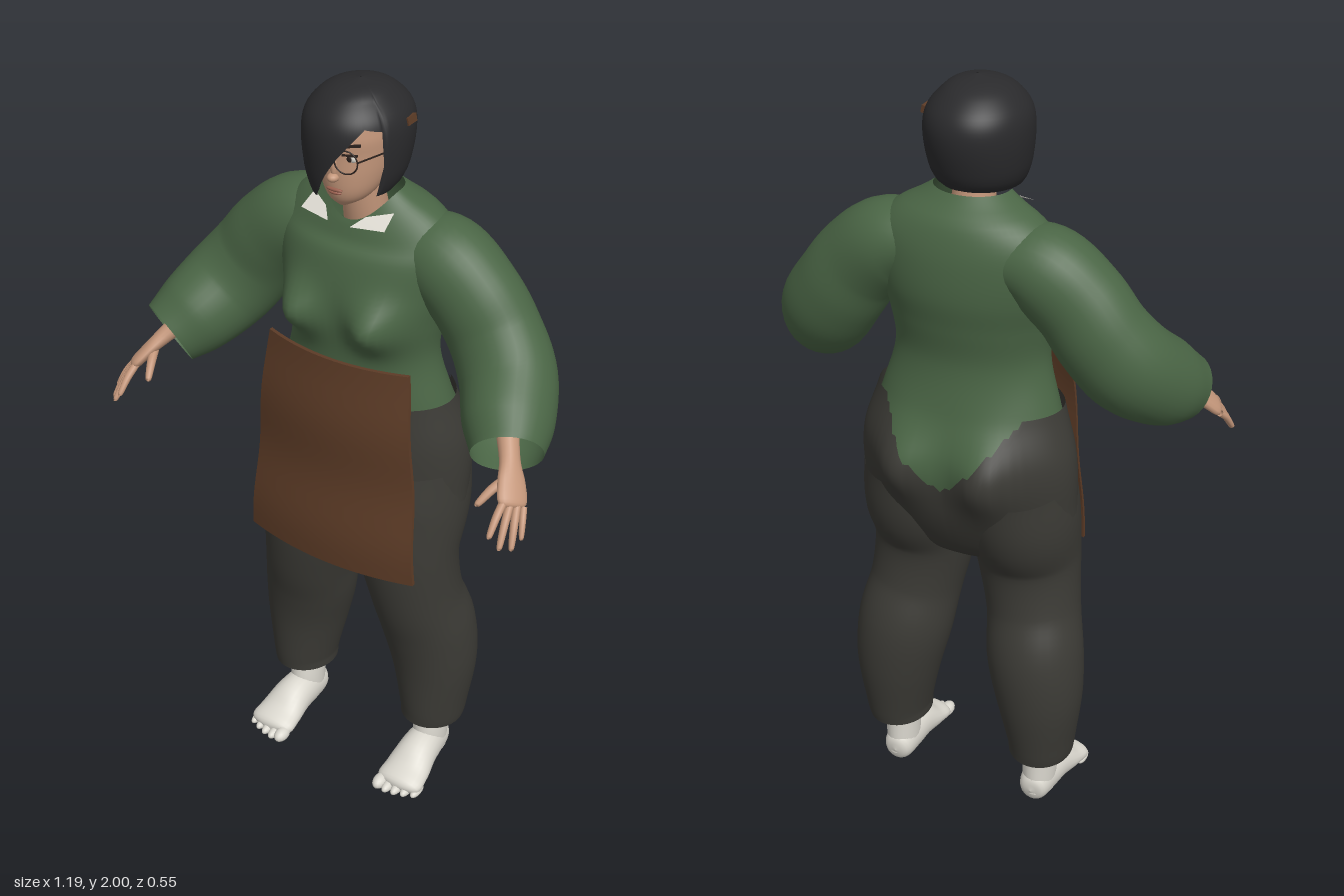
import * as THREE from 'three';

const mat = (name, color) => new THREE.MeshStandardMaterial({ name, color, side: THREE.DoubleSide });
const M = {
  shirt: mat('shirt green', 0x4a6545), pants: mat('charcoal cloth', 0x3b3a35),
  apron: mat('brown leather', 0x5c3b26), hair: mat('black hair', 0x2a2a2c),
  skin: mat('skin', 0xc3967a), sock: mat('off white', 0xdad7ce),
  lips: mat('lips', 0x99604f), dark: mat('dark detail', 0x2b211d),
};
const { sin, cos, PI, abs, max, min, exp } = Math;
const lerp = THREE.MathUtils.lerp;

// Smooth interpolation of table rows, keyed by their first column
function spline(rows, t) {
  const n = rows.length - 1;
  let i = 0;
  while (i < n - 1 && t > rows[i + 1][0]) i++;
  const slope = (k, c) => {
    const a = rows[max(k - 1, 0)], b = rows[min(k + 1, n)];
    return (b[c] - a[c]) / (b[0] - a[0]);
  };
  const A = rows[i], B = rows[i + 1], h = B[0] - A[0];
  const s = min(max((t - A[0]) / h, 0), 1), s2 = s * s, s3 = s2 * s;
  return A.map((_, c) => (2 * s3 - 3 * s2 + 1) * A[c] + (s3 - 2 * s2 + s) * h * slope(i, c)
    + (3 * s2 - 2 * s3) * B[c] + (s3 - s2) * h * slope(i + 1, c));
}

// Closed rings stacked along v; f(angle, v) gives a point
function rings(f, nu, nv) {
  const pos = [], idx = [];
  for (let j = 0; j <= nv; j++)
    for (let i = 0; i < nu; i++) pos.push(...f(i / nu * 2 * PI, j / nv));
  for (let j = 0; j < nv; j++)
    for (let i = 0; i < nu; i++) {
      const a = j * nu + i, b = j * nu + (i + 1) % nu;
      idx.push(a, b, b + nu, a, b + nu, a + nu);
    }
  const g = new THREE.BufferGeometry();
  g.setAttribute('position', new THREE.Float32BufferAttribute(pos, 3));
  g.setIndex(idx);
  g.computeVertexNormals();
  return g;
}

// Elliptical tube through rows [x, y, z, a, b]; a lies along ref, b across it
function sweep(rows, ref, nu = 24, nv = 28) {
  const keyed = rows.map((r, i) => [i, ...r]), n = rows.length - 1;
  const at = t => new THREE.Vector3(...spline(keyed, t).slice(1, 4));
  const R = new THREE.Vector3(...ref);
  return rings((th, v) => {
    const t = v * n, r = spline(keyed, t);
    const d = at(min(t + 0.02, n)).sub(at(max(t - 0.02, 0))).normalize();
    const N = R.clone().addScaledVector(d, -R.dot(d)).normalize();
    const B = d.clone().cross(N);
    return at(t).addScaledVector(N, max(r[4], 0) * cos(th)).addScaledVector(B, max(r[5], 0) * sin(th)).toArray();
  }, nu, nv);
}

// Horizontal oval from rows [y, halfWidth, zFront, zBack]
function oval(rows, y, th, grow = 0) {
  const [, w, zf, zb] = spline(rows, y);
  return [(w + grow) * sin(th), y, (zf + zb) / 2 + ((zf - zb) / 2 + grow) * cos(th)];
}

const BODY = [
  [0.73, 0.03, -0.02, -0.06], [0.77, 0.18, 0.05, -0.13], [0.85, 0.26, 0.075, -0.185], [0.95, 0.273, 0.08, -0.22],
  [1.08, 0.268, 0.08, -0.232], [1.2, 0.232, 0.075, -0.2], [1.32, 0.2, 0.075, -0.18], [1.42, 0.21, 0.085, -0.195],
  [1.5, 0.23, 0.085, -0.21], [1.58, 0.242, 0.07, -0.21], [1.64, 0.23, 0.045, -0.2], [1.69, 0.18, 0.035, -0.18],
  [1.72, 0.125, 0.03, -0.15], [1.74, 0.095, 0.025, -0.13]];
function body(y, th, grow) {
  const p = oval(BODY, y, th, grow), c = cos(th), ax = abs(p[0]);
  if (c > 0) {
    p[2] += 0.065 * exp(-(((ax - 0.11) / 0.06) ** 2) - ((y - 1.43) / 0.065) ** 2);
    p[1] -= 0.07 * c * c * min(max((y - 1.6) / 0.14, 0), 1);
  } else p[2] -= 0.05 * min(1, -3 * c) * exp(-(((ax - 0.12) / 0.075) ** 2) - ((y - 1.05) / 0.1) ** 2);
  return p;
}

const HEAD = [
  [1.72, 0.015, 0.055, 0.01], [1.735, 0.043, 0.07, -0.03], [1.76, 0.064, 0.08, -0.07], [1.8, 0.08, 0.084, -0.12],
  [1.85, 0.088, 0.083, -0.14], [1.9, 0.09, 0.083, -0.14], [1.95, 0.075, 0.06, -0.12], [1.98, 0.01, -0.02, -0.04]];
const HAIR = [
  [1.74, 0.09, 0.09, -0.115], [1.76, 0.105, 0.094, -0.145], [1.8, 0.119, 0.1, -0.167], [1.88, 0.127, 0.105, -0.185],
  [1.93, 0.118, 0.095, -0.175], [1.97, 0.085, 0.06, -0.135], [1.99, 0.05, 0.02, -0.09], [2.0, 0.002, -0.033, -0.037]];
// Hair hem height by angle in degrees: swept fringe, open face, then a bob
const HEM = [[-180, 1.755], [-90, 1.745], [-22, 1.742], [-12, 1.765], [0, 1.81], [15, 1.86], [30, 1.9], [42, 1.925],
  [60, 1.915], [66, 1.75], [110, 1.745], [180, 1.755]];
function hem(th) {
  const d = th > PI ? th * 180 / PI - 360 : th * 180 / PI;
  const i = max(1, HEM.findIndex(h => h[0] >= d));
  const [a, b] = [HEM[i - 1], HEM[i]];
  return lerp(a[1], b[1], (d - a[0]) / (b[0] - a[0]));
}

export function createModel() {
  const root = new THREE.Group();
  const add = (name, geo, m, parent = root) => {
    const mesh = new THREE.Mesh(geo, m);
    mesh.name = name;
    parent.add(mesh);
    return mesh;
  };
  const group = name => { const g = new THREE.Group(); g.name = name; root.add(g); return g; };
  const blob = (name, m, parent, p, r) => {
    const b = add(name, new THREE.SphereGeometry(1, 16, 12), m, parent);
    b.position.set(...p);
    b.scale.set(...r);
    return b;
  };
  const bar = (name, m, parent, p, size) => {
    const b = add(name, new THREE.BoxGeometry(...size), m, parent);
    b.position.set(...p);
    return b;
  };

  // Shirt, and trousers with a ragged V cut at the back
  add('shirtBody', rings((th, v) => body(lerp(0.93, 1.74, v), th, 0), 64, 60), M.shirt);
  add('trouserHips', rings((th, v) => {
    const cut = cos(th) < 0 ? max(0, 1 - abs(sin(th)) * 0.28 / 0.21) : 0;
    const top = Math.round((1.205 - 0.2 * cut) / 0.018) * 0.018;
    return body(lerp(0.73, top, v), th, 0.012);
  }, 120, 36), M.pants);

  // Apron: a curved, slightly rippled sheet
  const apron = new THREE.BoxGeometry(2, 1, 0.01, 24, 16, 1), ap = apron.attributes.position;
  for (let i = 0; i < ap.count; i++) {
    const u = ap.getX(i), t = ap.getY(i) + 0.5;
    ap.setXYZ(i, u * (0.2 + 0.047 * (1 - t) ** 0.8), lerp(0.74, 1.33, t),
      ap.getZ(i) + lerp(0.142, 0.112, t) - 0.038 * u * u + 0.006 * sin(t * 11));
  }
  apron.computeVertexNormals();
  add('apron', apron, M.apron);

  for (const s of [1, -1]) {
    const side = s > 0 ? 'left' : 'right';
    const flip = rows => rows.map(([x, ...r]) => [s * x, ...r]);

    // Sleeve
    add(side + 'Sleeve', sweep(flip([
      [0.1, 1.6, -0.09, 0.075, 0.09], [0.2, 1.575, -0.085, 0.11, 0.108], [0.285, 1.505, -0.08, 0.117, 0.105],
      [0.345, 1.425, -0.075, 0.12, 0.105], [0.405, 1.345, -0.04, 0.122, 0.112], [0.455, 1.28, 0.04, 0.11, 0.11],
      [0.49, 1.24, 0.105, 0.088, 0.085]]), [s, 1, 0], 32, 40), M.shirt);

    // Hand with four fingers and a thumb
    const hand = group(side + 'Hand'), across = [-0.6 * s, 0.4, 0.66];
    add('palm', sweep(flip([
      [0.455, 1.29, 0.05, 0.03, 0.03], [0.5, 1.235, 0.11, 0.026, 0.022], [0.528, 1.2, 0.148, 0.037, 0.017],
      [0.55, 1.168, 0.18, 0.037, 0.014], [0.556, 1.16, 0.188, 0, 0]]), across, 16, 20), M.skin, hand);
    const tips = [[0.592, 1.1, 0.207], [0.582, 1.083, 0.235], [0.562, 1.09, 0.257], [0.538, 1.118, 0.265]];
    const finger = (name, a, b, r) => {
      const mid = a.map((v, k) => (v + b[k]) / 2 + (k === 1 ? 0.006 : 0));
      const end = a.map((v, k) => lerp(v, b[k], 0.95));
      add(name, sweep(flip([[...a, r, r], [...mid, r * 0.95, r * 0.95], [...end, r * 0.65, r * 0.65], [...b, 0, 0]]),
        across, 10, 12), M.skin, hand);
    };
    tips.forEach((tip, i) => finger('finger' + (i + 1),
      [0.57 - 0.0117 * i, 1.155 + 0.0067 * i, 0.162 + 0.0117 * i], tip, i ? 0.01 : 0.0085));
    finger('thumb', [0.515, 1.205, 0.14], [0.478, 1.16, 0.22], 0.012);

    // Trouser leg
    add(side + 'TrouserLeg', sweep(flip([
      [0.21, 0.168, -0.075, 0.095, 0.085], [0.212, 0.22, -0.078, 0.102, 0.092], [0.205, 0.36, -0.085, 0.116, 0.117],
      [0.188, 0.48, -0.075, 0.124, 0.128], [0.168, 0.6, -0.042, 0.12, 0.124], [0.147, 0.75, -0.03, 0.128, 0.136],
      [0.146, 0.88, -0.06, 0.153, 0.141], [0.14, 1.0, -0.075, 0.155, 0.135]]), [0, 0, 1], 36, 44), M.pants);

    // Ankle and toed sock
    const foot = group(side + 'Foot');
    add('ankle', sweep(flip([[0.207, 0.14, -0.078, 0.045, 0.04], [0.207, 0.26, -0.078, 0.05, 0.045]]),
      [0, 0, 1], 20, 2), M.skin, foot);
    add('sockCuff', sweep(flip([[0.207, 0.03, -0.075, 0.056, 0.042], [0.207, 0.09, -0.072, 0.058, 0.045],
      [0.207, 0.165, -0.078, 0.05, 0.046]]), [0, 0, 1], 24, 10), M.sock, foot);
    const sole = sweep(flip([
      [0.205, 0.045, -0.134, 0, 0], [0.205, 0.047, -0.12, 0.042, 0.036], [0.207, 0.055, -0.06, 0.058, 0.048],
      [0.21, 0.055, 0, 0.055, 0.055], [0.213, 0.036, 0.06, 0.037, 0.064], [0.214, 0.025, 0.11, 0.026, 0.062],
      [0.214, 0.02, 0.125, 0, 0]]), [0, 1, 0], 24, 28);
    const sp = sole.attributes.position;
    for (let i = 0; i < sp.count; i++) sp.setY(i, max(sp.getY(i), 0.004));
    sole.computeVertexNormals();
    add('sock', sole, M.sock, foot);
    for (let i = 0; i < 5; i++) {
      const r = i ? 0.0145 - i * 0.0005 : 0.019;
      blob('toe' + (i + 1), M.sock, foot, [s * (0.166 + i * 0.0255), r + 0.002, 0.122 - i * i * 0.0017], [r, r, 0.03]);
    }

    // Collar point
    const flap = new THREE.BufferGeometry().setFromPoints([[0.055, 1.695, 0.035], [0.03, 1.675, 0.065],
      [0.115, 1.68, 0.05], [0.11, 1.705, 0]].map(([x, y, z]) => new THREE.Vector3(s * x, y, z)));
    flap.setIndex(s > 0 ? [0, 1, 2, 0, 2, 3] : [0, 2, 1, 0, 3, 2]);
    flap.computeVertexNormals();
    add(side + 'CollarPoint', flap, M.sock);
  }

  // Head and neck
  const head = group('head');
  add('neck', sweep([[0, 1.6, -0.07, 0.06, 0.06], [0, 1.7, -0.045, 0.053, 0.053], [0, 1.8, -0.035, 0.05, 0.05]],
    [0, 0, 1], 24, 8), M.skin, head);
  add('face', rings((th, v) => oval(HEAD, lerp(1.72, 1.98, v), th), 40, 32), M.skin, head);
  blob('nose', M.skin, head, [0, 1.802, 0.085], [0.014, 0.011, 0.017]);
  blob('noseBridge', M.skin, head, [0, 1.828, 0.081], [0.008, 0.03, 0.01]);
  blob('upperLip', M.lips, head, [0, 1.77, 0.081], [0.022, 0.005, 0.006]);
  blob('lowerLip', M.lips, head, [0, 1.762, 0.079], [0.018, 0.005, 0.007]);
  blob('eyeWhite', M.sock, head, [0.038, 1.852, 0.073], [0.017, 0.008, 0.004]);
  blob('iris', M.dark, head, [0.037, 1.852, 0.0755], [0.007, 0.0075, 0.003]);
  bar('eyelid', M.dark, head, [0.038, 1.861, 0.075], [0.036, 0.004, 0.006]).rotation.y = 0.35;
  bar('eyebrow', M.dark, head, [0.042, 1.884, 0.073], [0.04, 0.006, 0.006]).rotation.set(0, 0.4, 0.1);

  // Spectacles
  const lens = add('spectacleRim', new THREE.TorusGeometry(0.028, 0.0018, 8, 32), M.dark, head);
  lens.position.set(0.038, 1.85, 0.091);
  lens.rotation.y = 0.2;
  bar('spectacleArm', M.dark, head, [0.08, 1.855, 0.04], [0.003, 0.003, 0.1]).rotation.y = -0.28;

  // Bobbed hair with a swept fringe, and a clip
  add('hair', rings((th, v) => {
    const h = hem(th), p = oval(HAIR, lerp(h, 2, sin(v * PI / 2)), th);
    return [p[0] - 0.012 * min(1, (2.02 - p[1]) / 0.05), p[1], p[2]];
  }, 120, 30), M.hair, head);
  bar('hairClip', M.apron, head, [0.109, 1.913, -0.065], [0.012, 0.018, 0.036]).rotation.z = 0.2;

  return root;
}
